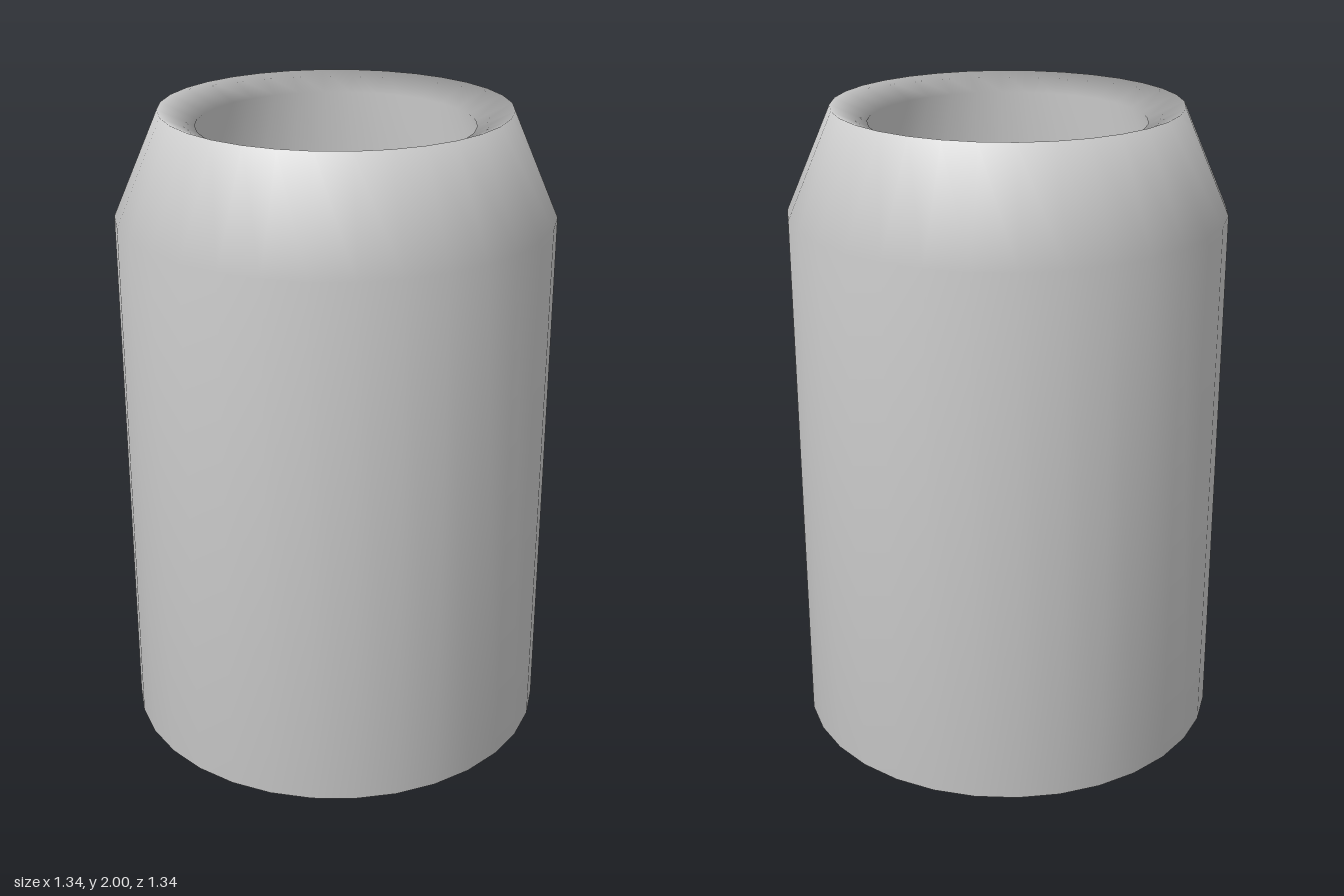
import * as THREE from 'three';

export function createModel() {
  const group = new THREE.Group();
  group.name = 'jar';

  // Closed half-section (radius, height): base, outer wall, shoulder, lip, then the hollow inside
  const section = [
    [0, 0], [0.48, 0], [0.67, 0],
    [0.67, 1.68], [0.53, 2],
    [0.42, 1.95], [0.55, 1.655],
    [0.55, 0.12], [0.46, 0.12], [0, 0.12],
  ].map(([r, y]) => new THREE.Vector2(r, y));

  const body = new THREE.Mesh(
    new THREE.LatheGeometry(section, 32),
    new THREE.MeshStandardMaterial({ color: 0xcccccc })
  );
  body.name = 'hollowBody';
  group.add(body);
  return group;
}
